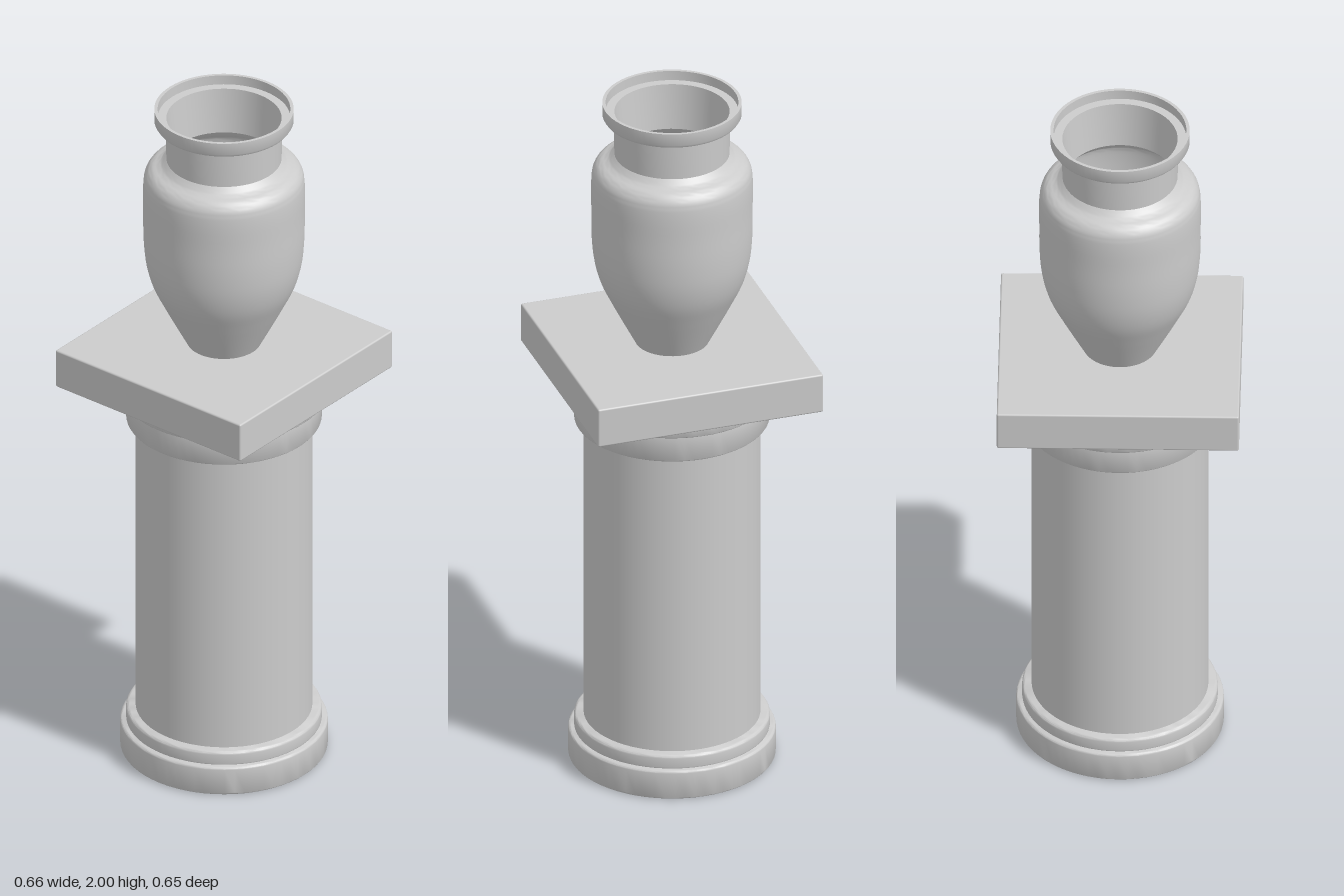
import * as THREE from 'three';
import { toCreasedNormals } from 'three/addons/utils/BufferGeometryUtils.js';
import { RoundedBoxGeometry } from 'three/addons/geometries/RoundedBoxGeometry.js';

const material = new THREE.MeshStandardMaterial({ color: 0xcccccc });

function addMesh(group, name, geometry) {
  const mesh = new THREE.Mesh(geometry, material);
  mesh.name = name;
  group.add(mesh);
  return mesh;
}

// Turned part from [radius, height] pairs, keeping sharp edges crisp
function turned(points) {
  const profile = points.map(([r, y]) => new THREE.Vector2(r, y));
  return toCreasedNormals(new THREE.LatheGeometry(profile, 64), 0.7);
}

// Disc profile with rounded rims
function disc(radius, bottom, top, bevel) {
  const points = [[0, bottom]];
  for (let i = 0; i <= 4; i++) {
    const a = (i / 4) * Math.PI / 2;
    points.push([radius - bevel + bevel * Math.sin(a), bottom + bevel - bevel * Math.cos(a)]);
  }
  for (let i = 0; i <= 4; i++) {
    const a = (i / 4) * Math.PI / 2;
    points.push([radius - bevel + bevel * Math.cos(a), top - bevel + bevel * Math.sin(a)]);
  }
  points.push([0, top]);
  return turned(points);
}

// Smooth run of profile points through a few guides
function smooth(guides, count) {
  const curve = new THREE.CatmullRomCurve3(guides.map(([r, y]) => new THREE.Vector3(r, y, 0)), false, 'centripetal');
  return curve.getPoints(count).map((p) => [p.x, p.y]);
}

export function createModel() {
  const model = new THREE.Group();
  model.name = 'vaseOnPedestal';

  // Round pedestal: stepped base, plain shaft, stepped capital
  const pedestal = new THREE.Group();
  pedestal.name = 'pedestal';
  model.add(pedestal);
  addMesh(pedestal, 'baseLower', disc(0.283, 0, 0.087, 0.008));
  addMesh(pedestal, 'baseUpper', disc(0.267, 0.08, 0.127, 0.01));
  addMesh(pedestal, 'shaft', new THREE.CylinderGeometry(0.241, 0.241, 0.94, 64, 1, true).translate(0, 0.58, 0));
  addMesh(pedestal, 'capitalLower', disc(0.267, 1.03, 1.115, 0.008));
  addMesh(pedestal, 'capitalUpper', disc(0.283, 1.11, 1.157, 0.008));

  // Square slab on top of the capital
  const slab = addMesh(pedestal, 'slab', new RoundedBoxGeometry(0.66, 0.115, 0.648, 2, 0.005));
  slab.position.y = 1.2125;

  // Hollow vase: outer wall up, stepped lip, inner wall down
  const outer = smooth([
    [0.1, 1.268], [0.135, 1.335], [0.168, 1.4], [0.196, 1.46], [0.212, 1.52], [0.219, 1.59],
    [0.22, 1.68], [0.22, 1.765], [0.215, 1.796], [0.2, 1.816], [0.174, 1.828], [0.157, 1.845],
  ], 44);
  const inner = smooth([
    [0.147, 1.84], [0.17, 1.815], [0.2, 1.795], [0.208, 1.765], [0.208, 1.6], [0.2, 1.52],
    [0.156, 1.4], [0.095, 1.285],
  ], 30);
  addMesh(model, 'vase', turned([
    [0, 1.268],
    ...outer,
    [0.16, 1.957], [0.185, 1.957], [0.19, 1.965], [0.19, 2], [0.181, 2],
    [0.181, 1.972], [0.157, 1.972],
    ...inner,
    [0, 1.285],
  ]));

  return model;
}
